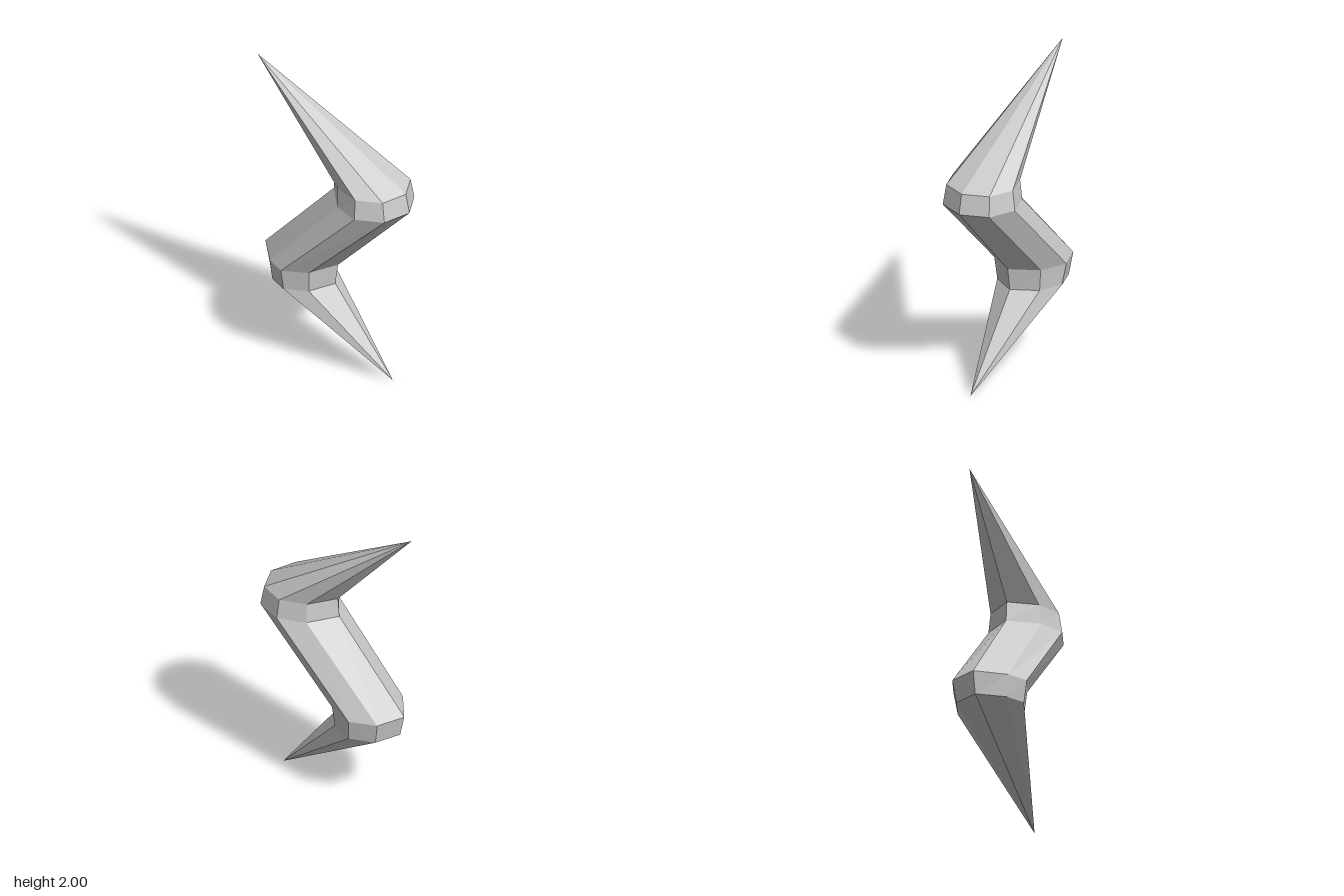
import * as THREE from 'three';

const material = new THREE.MeshStandardMaterial({ color: 0xcccccc, flatShading: true });

// Eight-sided cross-section: x of the five front columns (outer left to outer right),
// x of the three back columns, and the half depths of the middle and side corners.
function ring(y, front, back, mid, side) {
  const depth = [0, side, mid, side, 0];
  const corners = front.map((x, i) => [x, y, depth[i]]);
  for (let i = 2; i >= 0; i--) corners.push([back[i], y, -depth[i + 1]]);
  return corners;
}

// A spike end is a ring collapsed to one point.
const tip = (x, y) => Array.from({ length: 8 }, () => [x, y, 0]);

// Skin between a lower and an upper ring; collapsed triangles are skipped.
function segment(name, low, high) {
  const positions = [];
  const same = (a, b) => a.every((v, i) => v === b[i]);
  const triangle = (a, b, c) => {
    if (!same(a, b) && !same(b, c) && !same(a, c)) positions.push(...a, ...b, ...c);
  };
  for (let i = 0; i < 8; i++) {
    const j = (i + 1) % 8;
    triangle(low[i], low[j], high[j]);
    triangle(low[i], high[j], high[i]);
  }
  const geometry = new THREE.BufferGeometry();
  geometry.setAttribute('position', new THREE.Float32BufferAttribute(positions, 3));
  geometry.computeVertexNormals();
  const mesh = new THREE.Mesh(geometry, material);
  mesh.name = name;
  return mesh;
}

export function createModel() {
  const group = new THREE.Group();
  group.name = 'zigzagBolt';

  // Stations from the bottom point to the top point
  const stations = [
    tip(0.415, 0.005),
    ring(0.555, [-0.45, -0.335, -0.22, -0.08, 0.01], [-0.38, -0.225, -0.08], 0.215, 0.155),
    ring(0.695, [-0.48, -0.345, -0.225, -0.07, 0.03], [-0.405, -0.24, -0.07], 0.237, 0.17),
    ring(1.23, [0, 0.13, 0.29, 0.46, 0.53], [0.12, 0.29, 0.46], 0.237, 0.17),
    ring(1.355, [0.01, 0.125, 0.285, 0.44, 0.505], [0.125, 0.285, 0.44], 0.218, 0.158),
    tip(-0.535, 2),
  ];
  const names = ['lowerSpike', 'lowerElbow', 'slantedShaft', 'upperElbow', 'upperSpike'];
  names.forEach((name, i) => group.add(segment(name, stations[i], stations[i + 1])));

  return group;
}
